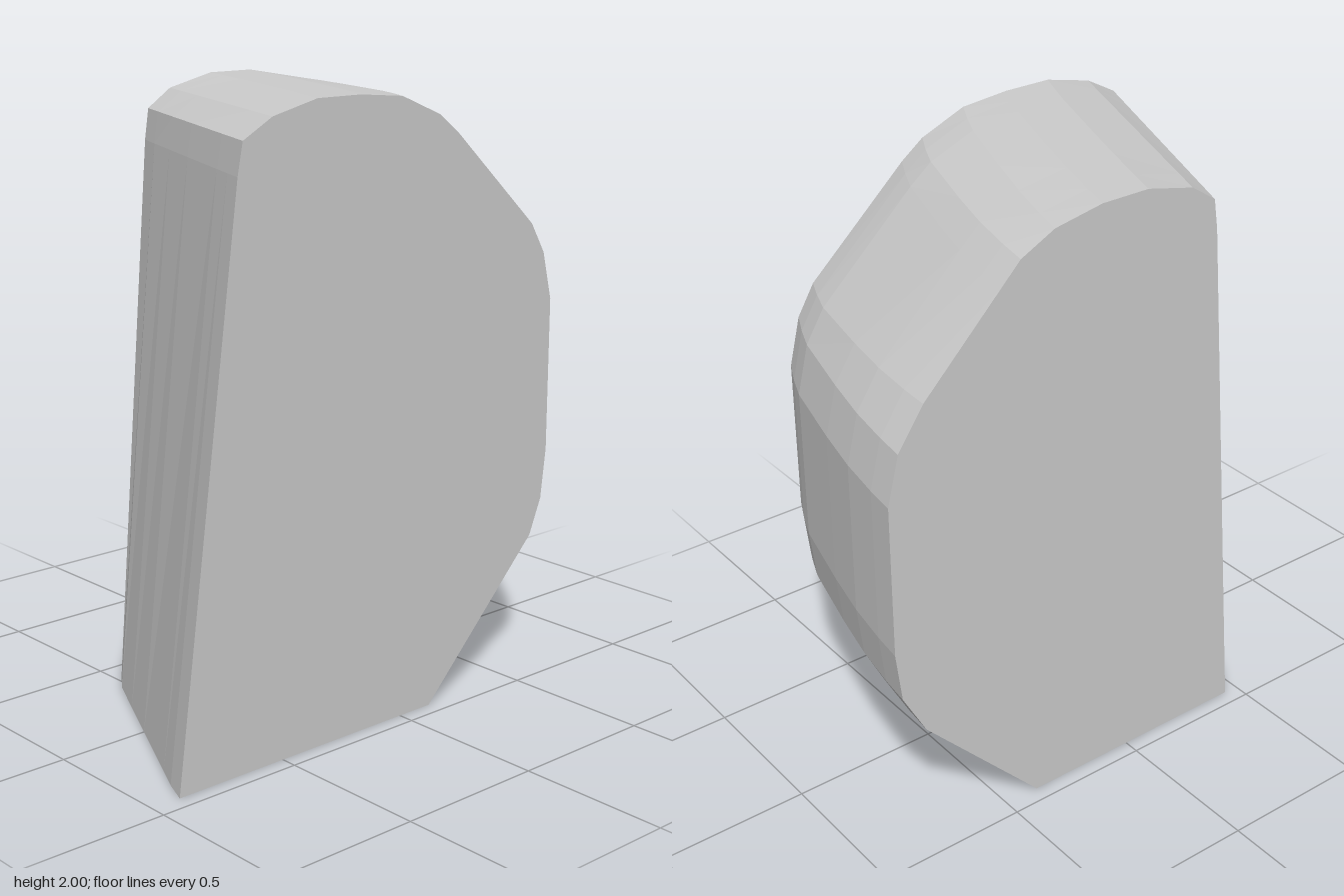
import * as THREE from 'three';

// Matching side outlines as [z, y], from the front foot over the top to the back foot
const LEFT = [[0.9, 0], [0.66, 1.8], [0.64, 1.9], [0.53, 1.96], [0.36, 2], [0.19, 2], [0.02, 1.985], [-0.14, 1.92],
  [-0.22, 1.86], [-0.57, 1.54], [-0.63, 1.44], [-0.67, 1.28], [-0.67, 0.77], [-0.65, 0.6], [-0.6, 0.48], [-0.13, 0]];
const RIGHT = [[0.45, 0], [0.305, 1.8], [0.29, 1.9], [0.2, 1.96], [0.03, 2], [-0.14, 2], [-0.31, 1.97], [-0.43, 1.91],
  [-0.5, 1.84], [-0.77, 1.57], [-0.86, 1.44], [-0.9, 1.28], [-0.9, 0.77], [-0.88, 0.6], [-0.8, 0.45], [-0.38, 0]];

// Stations across the width: [x, forward bulge of the front foot, backward bulge of the back]
const STATIONS = [[-0.447, 0, 0], [-0.34, 0.025, 0.015], [-0.18, 0.022, 0.03], [0, 0.018, 0.035],
  [0.27, 0.012, 0.034], [0.36, 0.01, 0.02], [0.447, 0, 0]];

function section([x, front, back]) {
  const t = (x + 0.447) / 0.894;
  return RIGHT.map(([zr, yr], i) => {
    const y = THREE.MathUtils.lerp(yr, LEFT[i][1], t);
    let z = THREE.MathUtils.lerp(zr, LEFT[i][0], t);
    if (i < 2) z += front * (1 - y / 1.9);
    z -= back * THREE.MathUtils.clamp((i - 3) / 4, 0, 1);
    return [x, y, z];
  });
}

export function createModel() {
  const grey = new THREE.MeshStandardMaterial({ color: 0xcccccc, flatShading: true });
  grey.name = 'light grey';

  const n = RIGHT.length;
  const last = (STATIONS.length - 1) * n;
  const positions = STATIONS.flatMap((s) => section(s).flat());
  const index = [];

  // Skin around the outline, including the base
  for (let s = 0; s < STATIONS.length - 1; s++) {
    for (let i = 0; i < n; i++) {
      const j = (i + 1) % n;
      const a = s * n + i, b = a + n, c = (s + 1) * n + j, d = s * n + j;
      index.push(a, b, c, a, c, d);
    }
  }
  // Flat side walls
  for (let i = 1; i < n - 1; i++) {
    index.push(last, last + i + 1, last + i);
    index.push(0, i, i + 1);
  }

  const indexed = new THREE.BufferGeometry();
  indexed.setAttribute('position', new THREE.Float32BufferAttribute(positions, 3));
  indexed.setIndex(index);
  const geometry = indexed.toNonIndexed();
  geometry.computeVertexNormals();

  const body = new THREE.Mesh(geometry, grey);
  body.name = 'body';
  const group = new THREE.Group();
  group.name = 'roundedBlock';
  group.add(body);
  return group;
}
